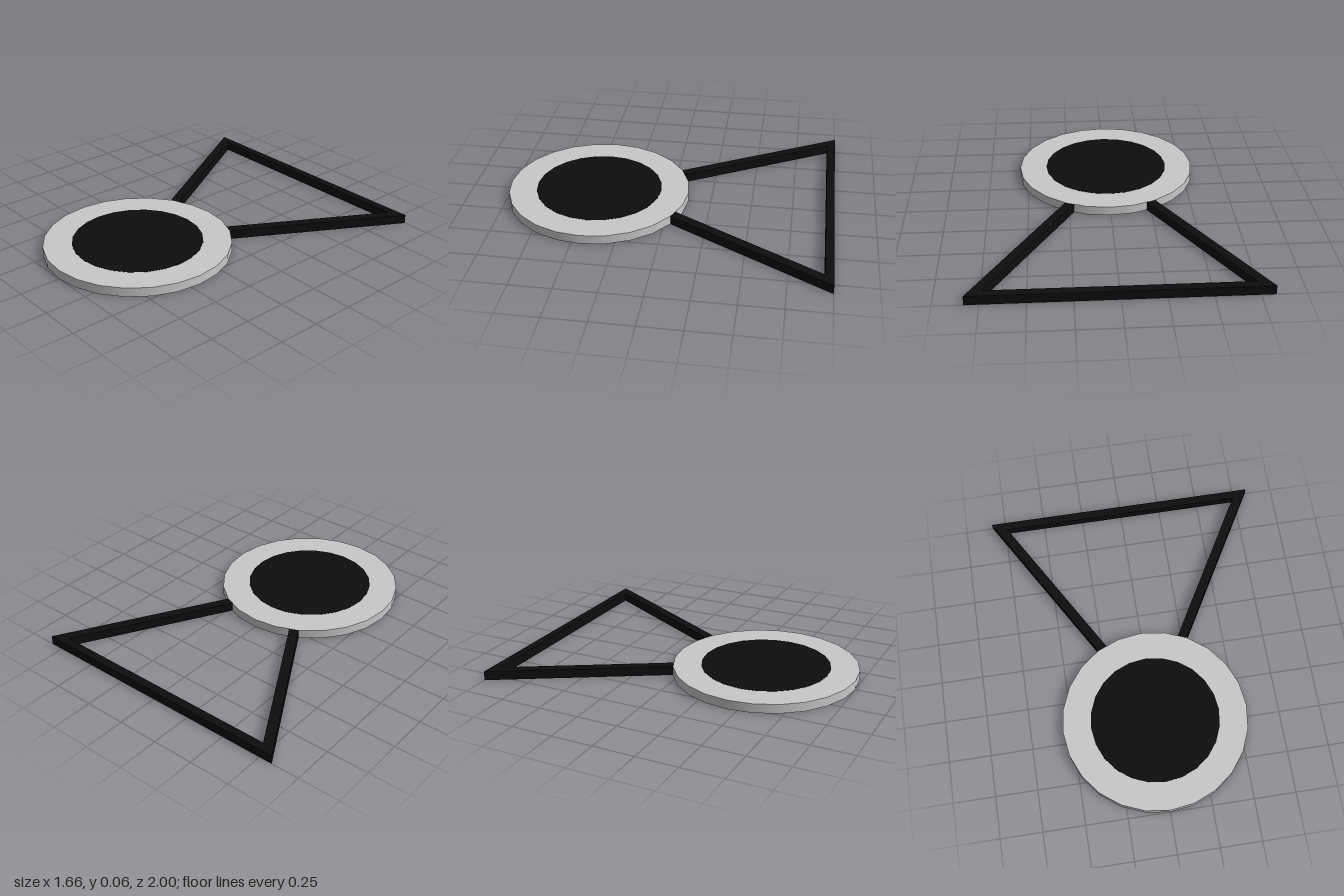
import * as THREE from 'three';

const HEIGHT = 0.055;
const DISC_Z = 0.444;

export function createModel() {
  const group = new THREE.Group();
  const silver = new THREE.MeshStandardMaterial({ color: 0xc8c8c8 });
  silver.name = 'silver';
  const black = new THREE.MeshStandardMaterial({ color: 0x0d0d0d });
  black.name = 'black';

  const add = (name, geometry, material, y = 0, z = 0) => {
    const mesh = new THREE.Mesh(geometry, material);
    mesh.name = name;
    mesh.position.set(0, y, z);
    group.add(mesh);
  };

  // Round body
  add('disc', new THREE.CylinderGeometry(0.556, 0.556, HEIGHT, 24), silver, HEIGHT / 2, DISC_Z);

  // Thin dark face on top of the body
  add('facePlate', new THREE.CylinderGeometry(0.387, 0.387, 0.002, 24), black, HEIGHT + 0.0005, DISC_Z);

  // Triangular strap, outlined as one open band whose ends meet the disc's rim
  const half = [[0.277, -0.04], [0.831, -1], [0.735, -0.95], [0.223, -0.062]];
  const [end, corner, innerCorner, innerEnd] = half;
  const mirror = ([x, z]) => [-x, z];
  const outline = [
    end, corner, mirror(corner), mirror(end),
    mirror(innerEnd), mirror(innerCorner), innerCorner, innerEnd,
  ];
  const shape = new THREE.Shape(outline.map(([x, z]) => new THREE.Vector2(x, -z)));
  const strap = new THREE.ExtrudeGeometry(shape, { depth: HEIGHT, bevelEnabled: false });
  strap.rotateX(-Math.PI / 2);
  add('strap', strap, black);

  return group;
}
